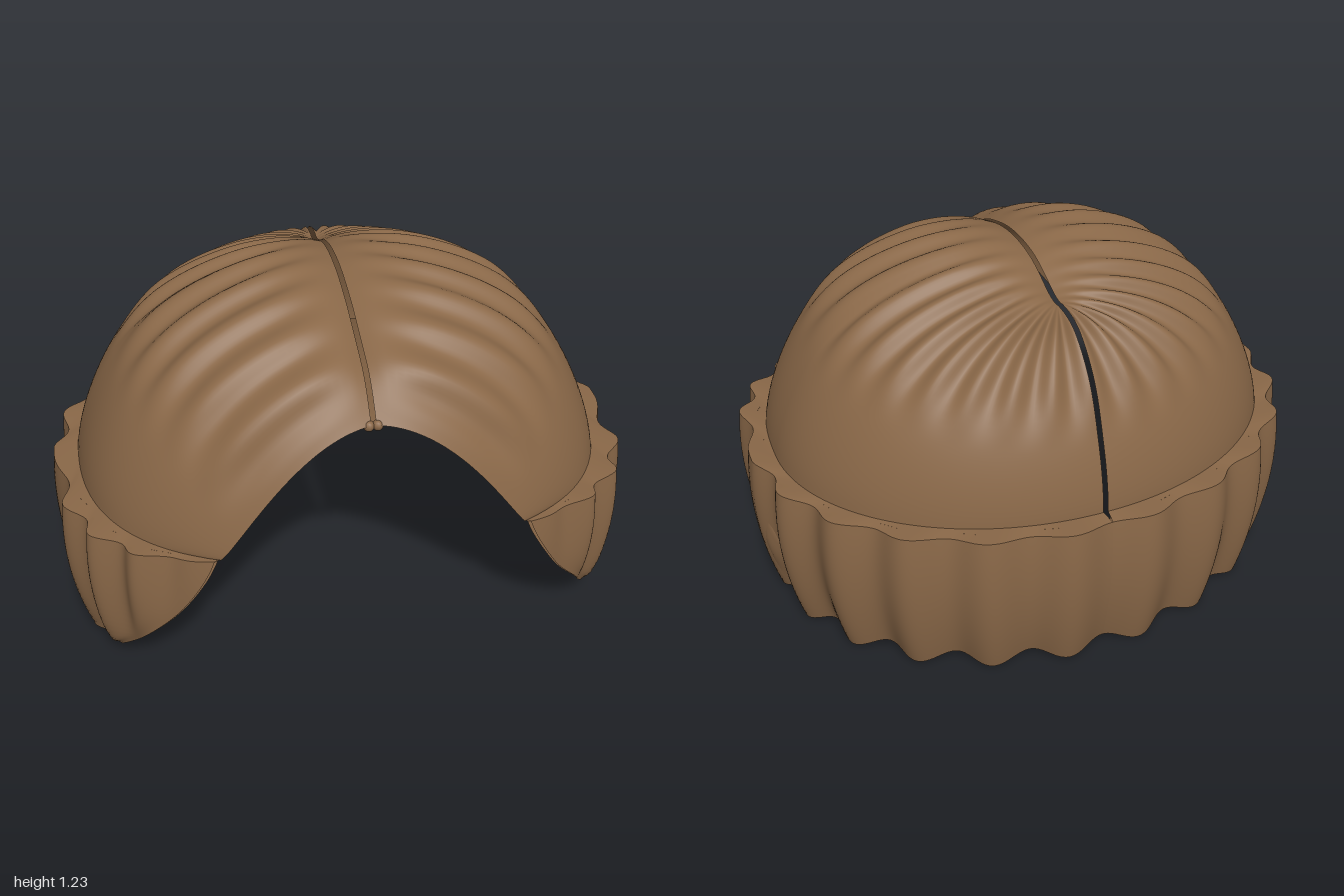
import * as THREE from 'three';

const RIM_Y = 0.56, CZ = 0.05;
const { sin, cos, exp, PI } = Math;
const lerp = THREE.MathUtils.lerp;
const smooth = THREE.MathUtils.smoothstep;

// Sheet from a rule f(u, v); side = -1 mirrors it in x and keeps the winding outward
function sheet(f, nu, nv, side) {
  const pos = [], idx = [];
  for (let j = 0; j <= nv; j++) {
    for (let i = 0; i <= nu; i++) {
      const p = f(i / nu, j / nv);
      pos.push(p.x * side, p.y, p.z);
    }
  }
  for (let j = 0; j < nv; j++) {
    for (let i = 0; i < nu; i++) {
      const a = j * (nu + 1) + i, b = a + 1, c = a + nu + 1, d = c + 1;
      if (side > 0) idx.push(a, c, b, b, c, d);
      else idx.push(a, b, c, b, d, c);
    }
  }
  const g = new THREE.BufferGeometry();
  g.setAttribute('position', new THREE.Float32BufferAttribute(pos, 3));
  g.setIndex(idx);
  g.computeVertexNormals();
  return g;
}

// Plan outline: squarish in front, elliptical behind; angle 0 is the front, PI the back
function plan(a, rx, front, back, square) {
  const s = Math.max(sin(a), 0), c = cos(a);
  return c > 0
    ? { x: rx * s ** square, z: CZ + front * c ** square }
    : { x: rx * s, z: CZ + back * c };
}

// Centre parting from the fringe to behind the top, where the locks fan down the back
const parting = new THREE.CatmullRomCurve3([
  [0.955, 0.69], [1.09, 0.58], [1.16, 0.43], [1.205, 0.31], [1.243, 0.12], [1.228, -0.08], [1.13, -0.3],
].map(([y, z]) => new THREE.Vector3(0, y, z)));

// Crown: curved locks from the parting down to the rim, with fanned pleats
function crown(u, v) {
  const t = v * PI / 2, s = sin(t);
  const top = parting.getPointAt(1 - (1 - u) ** 2.5);
  const rim = plan(lerp(0.48, PI, u), 0.9, 0.77, 0.73, 0.8);
  const power = 1 + 1.2 * exp(-u * 12) + 0.3 * smooth(u, 0.6, 1);
  const p = new THREE.Vector3(
    rim.x * s * (1 + 0.03 * sin(4 * t) * smooth(u, 0, 0.2)),
    RIM_Y + (top.y - RIM_Y) * Math.max(cos(t), 0) ** power,
    lerp(top.z, rim.z, s) + 0.025 * sin(2 * t) * (1 - smooth(u, 0, 0.25)));
  const fade = smooth(t, 0, 0.35) * (1 - smooth(t, 0.65, 1.05)) * smooth(u, 0, 0.06);
  const dip = 0.035 * exp(-t / 0.07) * smooth(u, 0, 0.1) * (1 - smooth(u, 0.6, 1));
  const k = 1 + 0.018 * fade * cos(u * 13 * 2 * PI) - dip;
  return p.set(p.x * k + 0.008, RIM_Y + (p.y - RIM_Y) * k, CZ + (p.z - CZ) * k);
}

// Lower band: scalloped curtain, cut back towards the sides in front
function band(u, v) {
  const a = lerp(0.38 + 0.15 * v + 0.46 * v * v, PI, u);
  const wave = -cos(22 * (PI - a)) * lerp(0.3, 1, smooth(u, 0, 0.12));
  const f = 1 + 0.08 * v - 0.13 * v * v + 0.022 * wave;
  const p = plan(a, 0.97 * f, 0.74 * lerp(1, f, 0.7), 0.8 * f, 0.65);
  const bottom = 0.026 - 0.016 * wave * smooth(a, 1.1, 1.7) + 0.04 * (1 - smooth(u, 0, 0.07));
  return new THREE.Vector3(p.x, lerp(RIM_Y + 0.004 * wave, bottom, v), p.z);
}

// Shelf joining the crown rim to the band
function shelf(u, v) {
  return crown(u, 1).lerp(band(u, 0), v);
}

// Lining: wavy inner face of the band, meeting it at the lower edge
function lining(u, v) {
  const step = crown(u, 1).sub(band(u, 0));
  return band(u, v).addScaledVector(step, 0.6 * (1 - v));
}

export function createModel() {
  const group = new THREE.Group();
  const brown = new THREE.MeshStandardMaterial({ color: 0x8a6848, side: THREE.DoubleSide });
  brown.name = 'brownHair';

  for (const [name, side] of [['left', 1], ['right', -1]]) {
    const half = new THREE.Group();
    half.name = name + 'Half';
    const add = (part, geometry) => {
      const m = new THREE.Mesh(geometry, brown);
      m.name = name + part;
      half.add(m);
      return m;
    };
    add('Crown', sheet(crown, 180, 36, side));
    add('Shelf', sheet(shelf, 180, 1, side));
    add('Band', sheet(band, 180, 20, side));
    add('Lining', sheet(lining, 180, 20, side));
    // Small tuft where the parting meets the fringe
    const tuft = add('Tuft', new THREE.SphereGeometry(0.018, 12, 8));
    tuft.position.set(0.014 * side, 0.95, 0.68);
    group.add(half);
  }
  return group;
}
